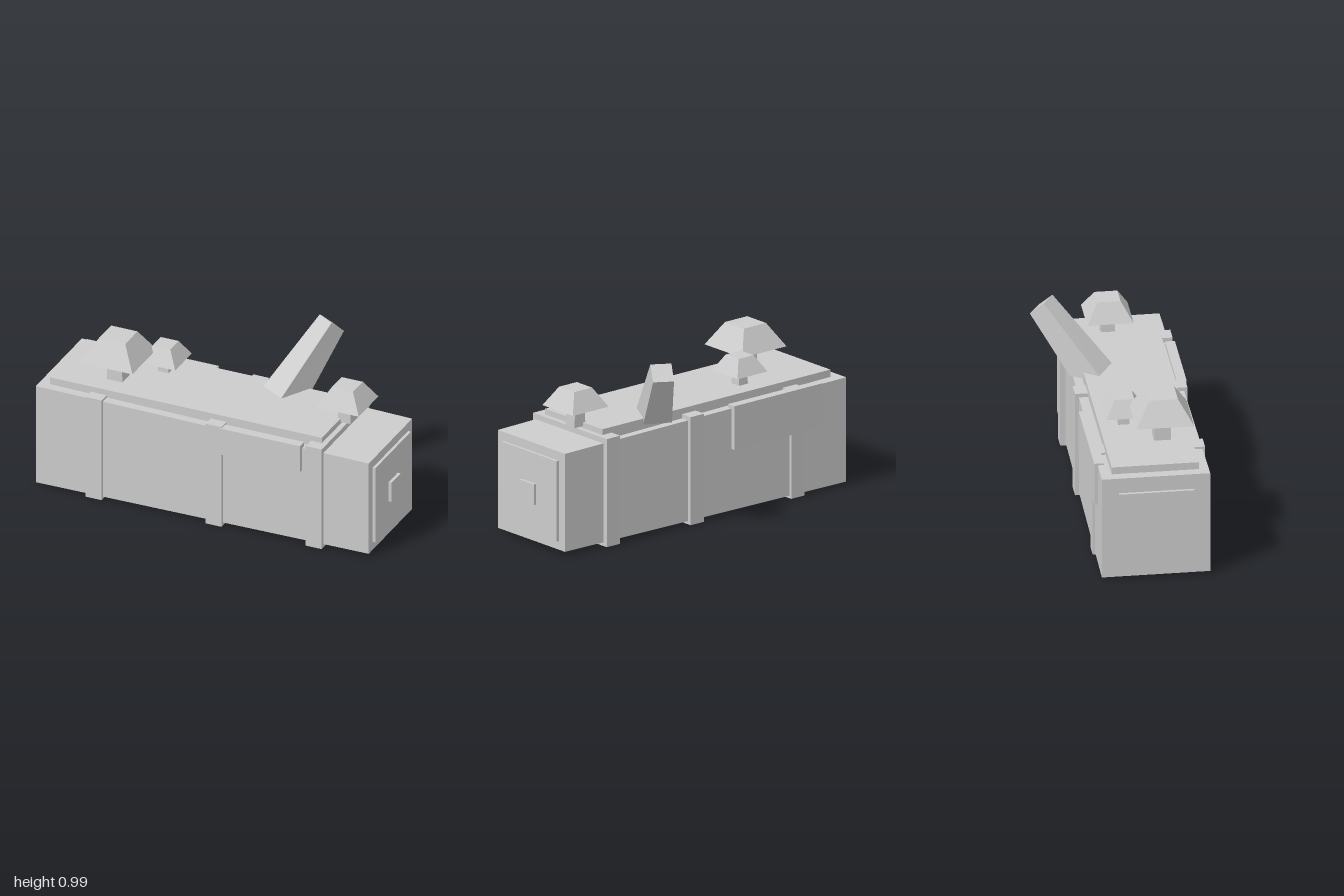
import * as THREE from 'three';

// Closed six-sided solid between two rings of four corners.
// Rings run counter-clockwise seen from beyond the end ring.
function loft(start, end) {
  const quads = [[start[3], start[2], start[1], start[0]], end];
  for (let i = 0; i < 4; i++) {
    const j = (i + 1) % 4;
    quads.push([start[i], start[j], end[j], end[i]]);
  }
  const positions = quads.flatMap(([a, b, c, d]) => [a, b, c, a, c, d].flat());
  const geometry = new THREE.BufferGeometry();
  geometry.setAttribute('position', new THREE.Float32BufferAttribute(positions, 3));
  geometry.computeVertexNormals();
  return geometry;
}

export function createModel() {
  const model = new THREE.Group();
  model.name = 'fallenLog';
  const grey = new THREE.MeshStandardMaterial({ color: 0xcccccc });
  grey.name = 'light grey';

  function add(name, geometry, parent = model) {
    const mesh = new THREE.Mesh(geometry, grey);
    mesh.name = name;
    parent.add(mesh);
    return mesh;
  }

  // Box given by its extents along each axis
  function box(name, [x0, x1], [y0, y1], [z0, z1]) {
    const mesh = add(name, new THREE.BoxGeometry(x1 - x0, y1 - y0, z1 - z0));
    mesh.position.set((x0 + x1) / 2, (y0 + y1) / 2, (z0 + z1) / 2);
  }

  // Square frustum; widths are half sides
  function frustum(name, topHalf, bottomHalf, y0, y1, parent) {
    const r = Math.SQRT2;
    const geometry = new THREE.CylinderGeometry(topHalf * r, bottomHalf * r, y1 - y0, 4)
      .toNonIndexed();
    geometry.rotateY(Math.PI / 4);
    geometry.computeVertexNormals();
    add(name, geometry, parent).position.y = (y0 + y1) / 2;
  }

  // Trunk, narrowing slightly towards +x
  const section = (x, y0, y1, z0, z1) => [[x, y0, z1], [x, y0, z0], [x, y1, z0], [x, y1, z1]];
  add('trunk', loft(section(-0.983, 0.013, 0.597, -0.203, 0.38),
    section(0.967, 0.022, 0.57, -0.18, 0.37)));

  // Bark ridges wrapped around the trunk
  for (const x of [-0.638, 0.066, 0.654]) {
    box('barkRidge', [x - 0.047, x + 0.047], [0, 0.605], [-0.212, 0.392]);
  }

  // Moss on the top and hanging down both sides
  box('topMoss', [-0.925, 0.672], [0.57, 0.637], [-0.142, 0.327]);
  box('frontMoss', [0.107, 0.577], [0.443, 0.6], [0.347, 0.4]);
  box('backMoss', [-0.808, -0.187], [0.36, 0.605], [-0.22, -0.168]);

  // Cut faces at the ends
  box('rightCut', [-1, -0.97], [0.102, 0.51], [-0.112, 0.293]);
  box('leftCut', [0.95, 0.983], [0.07, 0.52], [-0.13, 0.32]);
  box('leftCutCore', [0.97, 1], [0.237, 0.353], [0.037, 0.152]);

  // Leaning, tapered branch stump
  add('branchStump', loft(
    [[0.127, 0.602, -0.038], [0.276, 0.602, 0.052], [0.383, 0.602, -0.138], [0.243, 0.602, -0.21]],
    [[0.353, 0.986, -0.335], [0.45, 0.986, -0.275], [0.49, 0.911, -0.345], [0.395, 0.911, -0.405]]));

  // Square mushrooms
  const mushrooms = [
    { x: -0.597, z: 0.17, cap: 0.155, y: [0.63, 0.765, 0.893], stem: 0.044 },
    { x: -0.402, z: -0.01, cap: 0.105, y: [0.63, 0.707, 0.797], stem: 0.03 },
    { x: 0.694, z: 0.053, cap: 0.125, y: [0.617, 0.725, 0.83], stem: 0.036 },
  ];
  for (const { x, z, cap, y, stem } of mushrooms) {
    const mushroom = new THREE.Group();
    mushroom.name = 'mushroom';
    mushroom.position.set(x, 0, z);
    frustum('mushroomStem', stem * 0.93, stem * 1.05, y[0], y[1] + 0.01, mushroom);
    frustum('mushroomCap', cap * 0.5, cap, y[1], y[2], mushroom);
    model.add(mushroom);
  }
  return model;
}
